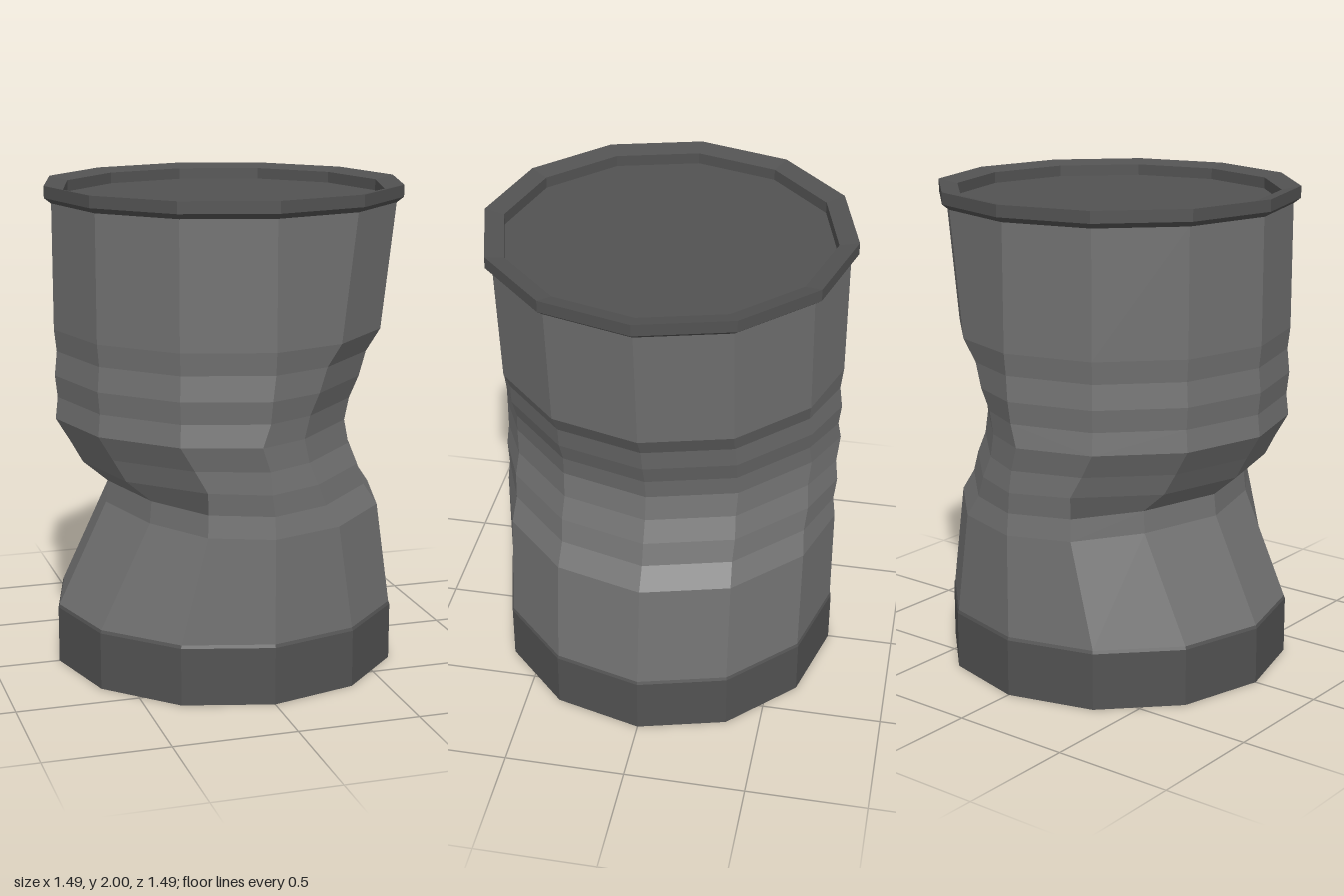
import * as THREE from 'three';

const SIDES = 12;

// Crushed wall, one row per ring from bottom to top:
// [height, radius, push of the +x side, push of the middle, push of the inner -x corners, push of the outer -x corners]
const RINGS = [
  [0.25, 0.715, 0, 0, 0, 0],
  [0.68, 0.714, -0.06, 0, 0.11, 0.205],
  [0.77, 0.704, -0.11, 0, 0.11, 0.205],
  [0.86, 0.714, -0.15, -0.015, 0.11, 0.11],
  [0.95, 0.704, -0.18, -0.02, 0.055, 0.05],
  [1.05, 0.714, -0.21, -0.055, 0, 0],
  [1.14, 0.704, -0.18, -0.02, 0, 0],
  [1.23, 0.714, -0.15, -0.015, 0, 0],
  [1.33, 0.704, -0.11, 0, 0, 0],
  [1.42, 0.714, -0.06, 0, 0, 0],
  [1.93, 0.714, 0, 0, 0, 0],
];

// Corner i of a ring, pushed sideways by the dents
function corner([y, r, right, mid, inner, outer], i) {
  const a = (i / SIDES) * Math.PI * 2;
  const s = Math.sin(a);
  const push = s > 0.1 ? right : s > -0.1 ? mid : s > -0.6 ? inner : outer;
  return new THREE.Vector3(r * s + push, y, r * Math.cos(a));
}

// Loft of flat four-sided panels; the fold direction mirrors from front to back
function wallGeometry() {
  const pos = [], normals = [];
  for (let j = 0; j < RINGS.length - 1; j++) {
    for (let i = 0; i < SIDES; i++) {
      const a = corner(RINGS[j], i), b = corner(RINGS[j], i + 1);
      const c = corner(RINGS[j + 1], i + 1), d = corner(RINGS[j + 1], i);
      const back = i >= 3 && i <= 8;
      const dentCorner = i === 7 || i === 10;
      const n = c.clone().sub(a).cross(d.clone().sub(b)).normalize();
      for (const p of back !== dentCorner ? [a, b, d, b, c, d] : [a, b, c, a, c, d]) {
        pos.push(p.x, p.y, p.z);
        normals.push(n.x, n.y, n.z);
      }
    }
  }
  const g = new THREE.BufferGeometry();
  g.setAttribute('position', new THREE.Float32BufferAttribute(pos, 3));
  g.setAttribute('normal', new THREE.Float32BufferAttribute(normals, 3));
  return g;
}

function turned(points) {
  return new THREE.LatheGeometry(points.map(([r, y]) => new THREE.Vector2(r, y)), SIDES);
}

export function createModel() {
  const group = new THREE.Group();
  const wallGrey = new THREE.MeshStandardMaterial({ color: 0x717171 });
  const darkGrey = new THREE.MeshStandardMaterial({ color: 0x525252, flatShading: true });
  const add = (name, geometry, material) => {
    const mesh = new THREE.Mesh(geometry, material);
    mesh.name = name;
    group.add(mesh);
  };

  add('dentedWall', wallGeometry(), wallGrey);

  // Closed foot with a small bevel up to the wall
  add('base', turned([[0, 0], [0.72, 0], [0.72, 0.237], [0.714, 0.252]]), darkGrey);

  // Overhanging rim, sloping inwards to a sunken lid
  add('rim', turned([[0.7, 1.93], [0.715, 1.93], [0.743, 1.952], [0.743, 2], [0.665, 1.983], [0.665, 1.937]]), darkGrey);
  add('lid', turned([[0.665, 1.937], [0, 1.937]]), darkGrey);

  return group;
}
